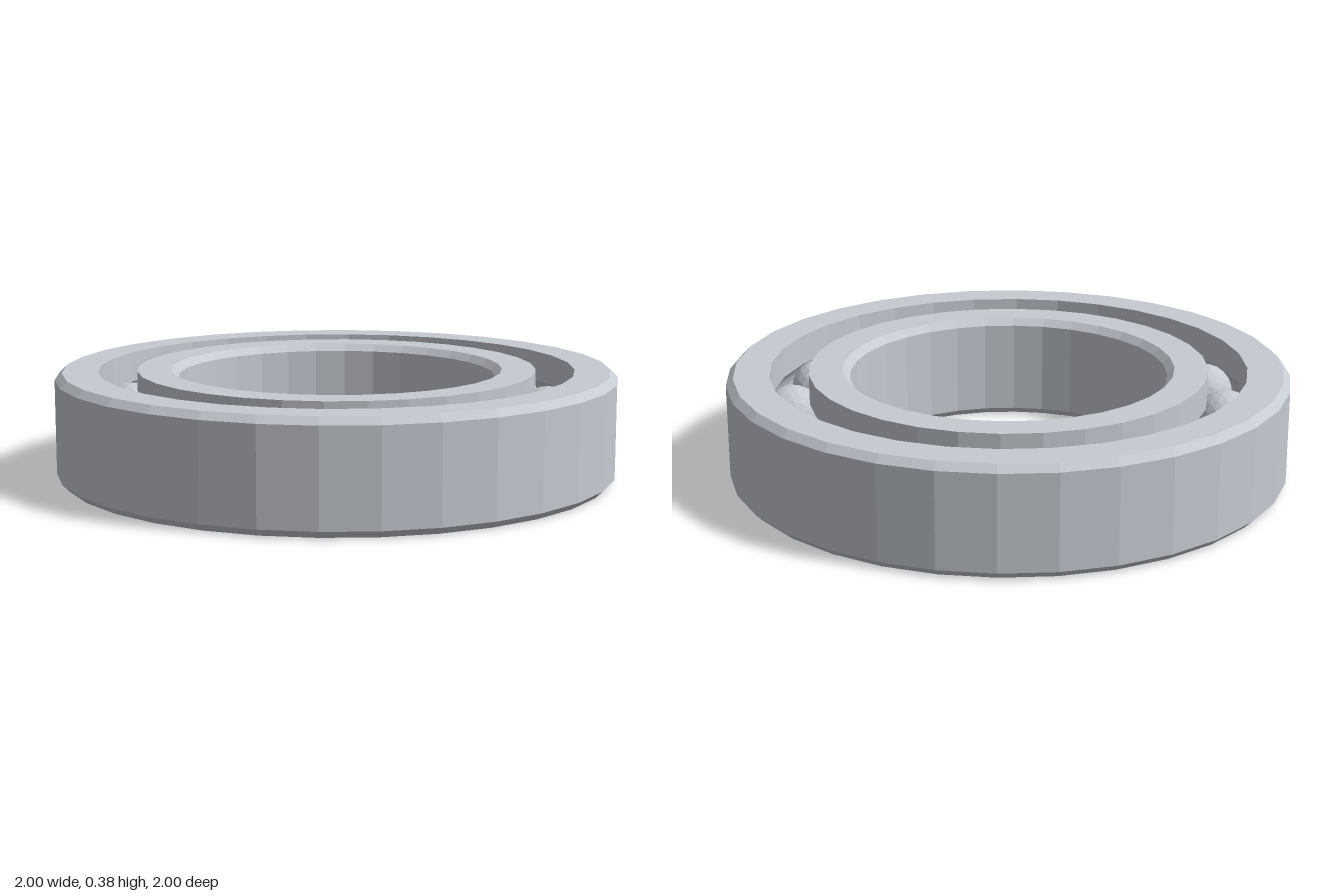
import * as THREE from 'three';

const HEIGHT = 0.385, MID = HEIGHT / 2, CHAMFER = 0.025;
const PITCH = 0.778, BALL = 0.105, GROOVE = 0.108;
const SEGMENTS = 32, BALLS = 16;

// Closed section of a race ring: chamfered on the free side, grooved on the ball side.
// Points run counterclockwise in (radius, y) so that the faces point outward.
function raceProfile(freeR, ballR) {
  const s = Math.sign(freeR - ballR);
  const half = Math.acos(Math.abs(ballR - PITCH) / GROOVE);
  const pts = [
    [ballR, 0], [freeR - s * CHAMFER, 0], [freeR, CHAMFER],
    [freeR, HEIGHT - CHAMFER], [freeR - s * CHAMFER, HEIGHT], [ballR, HEIGHT],
  ];
  for (let i = 0; i <= 8; i++) {
    const a = half - (2 * half * i) / 8;
    pts.push([PITCH + s * GROOVE * Math.cos(a), MID + GROOVE * Math.sin(a)]);
  }
  pts.push([ballR, 0]);
  if (s < 0) pts.reverse();
  return pts.map(([r, y]) => new THREE.Vector2(r, y));
}

export function createModel() {
  const group = new THREE.Group();
  group.name = 'ballBearing';
  const steel = new THREE.MeshStandardMaterial({ color: 0xc6cad2, flatShading: true });
  steel.name = 'steel';

  // Outer and inner races
  for (const [name, freeR, ballR] of [['outerRace', 1, 0.848], ['innerRace', 0.565, 0.71]]) {
    const race = new THREE.Mesh(new THREE.LatheGeometry(raceProfile(freeR, ballR), SEGMENTS), steel);
    race.name = name;
    group.add(race);
  }

  // Balls between the races
  const balls = new THREE.Group();
  balls.name = 'balls';
  const ballGeometry = new THREE.IcosahedronGeometry(BALL, 3);
  for (let i = 0; i < BALLS; i++) {
    const a = (i / BALLS) * Math.PI * 2;
    const ball = new THREE.Mesh(ballGeometry, steel);
    ball.name = 'ball';
    ball.position.set(PITCH * Math.sin(a), MID, PITCH * Math.cos(a));
    balls.add(ball);
  }
  group.add(balls);
  return group;
}
